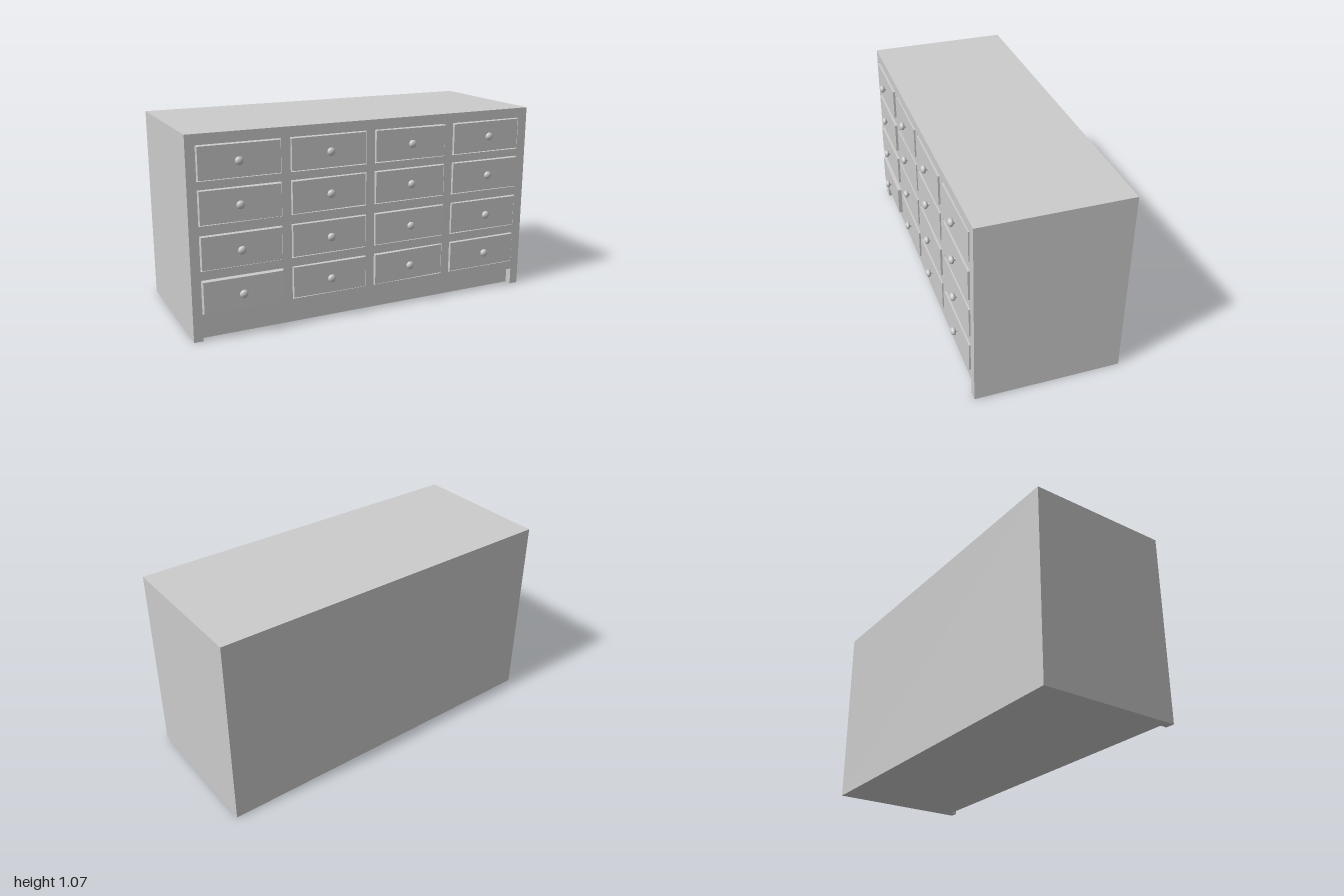
import * as THREE from 'three';

const W = 2, H = 1.065, BACK = -0.425, FRONT = 0.375, FRAME = 0.04;

// Drawer openings: [min, max]
const COLS = [[-0.95, -0.51], [-0.46, -0.03], [0.02, 0.455], [0.505, 0.945]];
const ROWS = [[0.83, 1.01], [0.605, 0.788], [0.372, 0.556], [0.145, 0.325]];
const KNOB_X = [-0.74, -0.245, 0.235, 0.73];
const KNOB_Y = [0.922, 0.70, 0.465, 0.235];

// How far each drawer stands proud of the frame (row by column)
const PULL = [
  [0.011, 0.006, 0.008, 0.006],
  [0.011, 0.006, 0.007, 0.008],
  [0.012, 0.006, 0.008, 0.006],
  [0.02, 0.008, 0.007, 0.008],
];

export function createModel() {
  const model = new THREE.Group();
  model.name = 'drawerChest';
  const material = new THREE.MeshStandardMaterial({ color: 0xcccccc });

  function add(parent, name, geometry, x = 0, y = 0, z = 0) {
    const mesh = new THREE.Mesh(geometry, material);
    mesh.name = name;
    mesh.position.set(x, y, z);
    parent.add(mesh);
    return mesh;
  }

  // Solid carcass behind the front frame
  const depth = FRONT - FRAME - BACK;
  add(model, 'carcass', new THREE.BoxGeometry(W, H, depth), 0, H / 2, BACK + depth / 2);

  // Front frame: toe recess between two feet, one opening per drawer
  const outline = [[-1, 0], [-0.95, 0], [-0.95, 0.095], [0.95, 0.095], [0.95, 0], [1, 0], [1, H], [-1, H]];
  const frame = new THREE.Shape(outline.map(([x, y]) => new THREE.Vector2(x, y)));
  for (const [x0, x1] of COLS) {
    for (const [y0, y1] of ROWS) {
      frame.holes.push(new THREE.Path([
        new THREE.Vector2(x0, y0), new THREE.Vector2(x0, y1),
        new THREE.Vector2(x1, y1), new THREE.Vector2(x1, y0),
      ]));
    }
  }
  add(model, 'frontFrame', new THREE.ExtrudeGeometry(frame, { depth: FRAME, bevelEnabled: false }),
    0, 0, FRONT - FRAME);

  // Knob: short stem flaring into a flattened round head
  const profile = [[0.009, -0.006], [0.009, 0.012]];
  for (let i = 1; i <= 10; i++) {
    const a = -Math.PI / 2 + 0.45 + (i - 1) / 9 * (Math.PI - 0.45);
    profile.push([Math.max(0, 0.022 * Math.cos(a)), 0.02 + 0.015 * Math.sin(a)]);
  }
  const knob = new THREE.LatheGeometry(profile.map(([r, y]) => new THREE.Vector2(r, y)), 20);
  knob.rotateX(Math.PI / 2);

  // Drawers sit a little loosely in their openings
  const gap = 0.006;
  ROWS.forEach(([y0, y1], r) => COLS.forEach(([x0, x1], c) => {
    const drawer = new THREE.Group();
    drawer.name = `drawerRow${r + 1}Column${c + 1}`;
    const cx = (x0 + x1) / 2, cy = (y0 + y1) / 2;
    drawer.position.set(cx, cy, FRONT + PULL[r][c]);
    drawer.rotation.z = 0.006 * Math.sin(r * 5.1 + c * 2.3);
    drawer.rotation.y = 0.008 * Math.sin(r * 3.7 + c * 4.9);
    const thick = FRAME + PULL[r][c];
    add(drawer, 'drawerFront', new THREE.BoxGeometry(x1 - x0 - 2 * gap, y1 - y0 - 2 * gap, thick), 0, 0, -thick / 2);
    add(drawer, 'knob', knob, KNOB_X[c] - cx, KNOB_Y[r] - cy, 0);
    model.add(drawer);
  }));

  return model;
}
